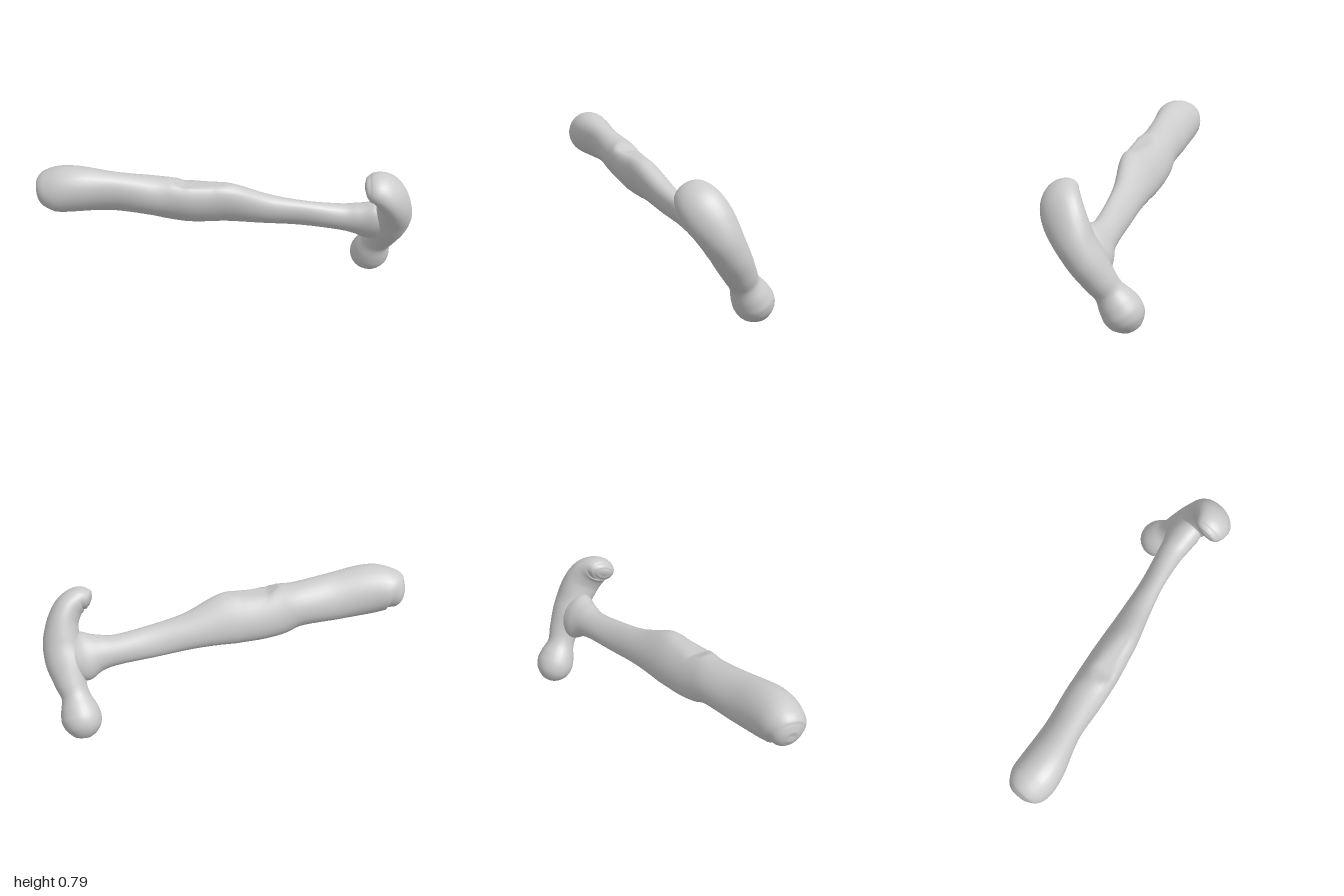
import * as THREE from 'three';

// The hammer lies tilted: U runs along the head, N across its thickness
const U = new THREE.Vector3(0, 0.87, 0.5).normalize();
const N = new THREE.Vector3(0, -0.5, 0.87).normalize();

// Loft elliptical rings through stations { c: centre, a: half width in plane, b: half width along N }
function loft(stations, steps, sides, shape) {
  const path = new THREE.CatmullRomCurve3(stations.map(s => s.c), false, 'catmullrom');
  const size = new THREE.CatmullRomCurve3(
    stations.map(s => new THREE.Vector3(s.a, s.b, 0)), false, 'catmullrom');
  const pos = [], index = [];
  for (let i = 0; i <= steps; i++) {
    const t = i / steps;
    const c = path.getPoint(t), r = size.getPoint(t);
    const w = N.clone().cross(path.getTangent(t)).normalize();
    for (let j = 0; j < sides; j++) {
      const k = (j / sides) * Math.PI * 2;
      const p = c.clone()
        .addScaledVector(w, Math.max(r.x, 0.001) * Math.cos(k))
        .addScaledVector(N, Math.max(r.y, 0.001) * Math.sin(k));
      if (shape) shape(p);
      pos.push(p.x, p.y, p.z);
      if (i < steps) {
        const a = i * sides + j, b = i * sides + (j + 1) % sides;
        index.push(a, b, a + sides, b, b + sides, a + sides);
      }
    }
  }
  const g = new THREE.BufferGeometry();
  g.setAttribute('position', new THREE.Float32BufferAttribute(pos, 3));
  g.setIndex(index);
  g.computeVertexNormals();
  return g;
}

export function createModel() {
  const group = new THREE.Group();
  group.name = 'hammer';
  const material = new THREE.MeshStandardMaterial({ color: 0xcccccc });
  const add = (name, geometry) => {
    const mesh = new THREE.Mesh(geometry, material);
    mesh.name = name;
    group.add(mesh);
  };

  // Handle: x, y, z, half height, half thickness
  const handle = [
    [-1.0, 0.64, 0.16, 0, 0],
    [-0.995, 0.64, 0.162, 0.045, 0.045],
    [-0.97, 0.645, 0.167, 0.085, 0.085],
    [-0.91, 0.662, 0.178, 0.12, 0.118],
    [-0.8, 0.667, 0.175, 0.138, 0.114],
    [-0.6, 0.642, 0.145, 0.131, 0.088],
    [-0.4, 0.612, 0.125, 0.123, 0.098],
    [-0.3, 0.592, 0.115, 0.14, 0.096],
    [-0.2, 0.572, 0.104, 0.143, 0.095],
    [-0.1, 0.563, 0.092, 0.143, 0.09],
    [0.0, 0.555, 0.08, 0.142, 0.082],
    [0.2, 0.505, 0.047, 0.102, 0.069],
    [0.4, 0.467, 0.015, 0.089, 0.056],
    [0.6, 0.435, -0.012, 0.083, 0.066],
    [0.7, 0.423, -0.02, 0.102, 0.076],
    [0.78, 0.41, -0.028, 0.135, 0.083],
    [0.85, 0.4, -0.03, 0.1, 0.07],
    [0.88, 0.4, -0.03, 0, 0],
  ].map(([x, y, z, a, b]) => ({ c: new THREE.Vector3(x, y, z), a, b }));

  // Flat worn notch on top of the grip
  const notch = p => {
    if (p.x > -0.31 && p.x < 0.02) {
      p.y = Math.min(p.y, 0.685 + Math.max(0, (-0.23 - p.x) / 0.08) * 0.04);
    }
  };
  add('handle', loft(handle, 102, 28, notch));

  // Head, from striking knob to curled claw: x, distance along U, half depth, half thickness
  const head = [
    [0.8, -0.107, 0, 0],
    [0.8, -0.098, 0.045, 0.045],
    [0.8, -0.055, 0.092, 0.09],
    [0.803, 0.0, 0.11, 0.106],
    [0.815, 0.06, 0.1, 0.098],
    [0.832, 0.13, 0.078, 0.078],
    [0.855, 0.2, 0.088, 0.085],
    [0.876, 0.3, 0.108, 0.095],
    [0.895, 0.39, 0.105, 0.1],
    [0.897, 0.46, 0.097, 0.11],
    [0.885, 0.54, 0.085, 0.118],
    [0.852, 0.61, 0.078, 0.115],
    [0.8, 0.652, 0.07, 0.1],
    [0.755, 0.655, 0.055, 0.08],
    [0.735, 0.652, 0.035, 0.05],
    [0.728, 0.65, 0, 0],
  ].map(([x, s, a, b]) => ({
    c: new THREE.Vector3(x, 0, 0).addScaledVector(U, s).addScaledVector(N, -0.228),
    a, b,
  }));
  add('head', loft(head, 90, 28));

  return group;
}
